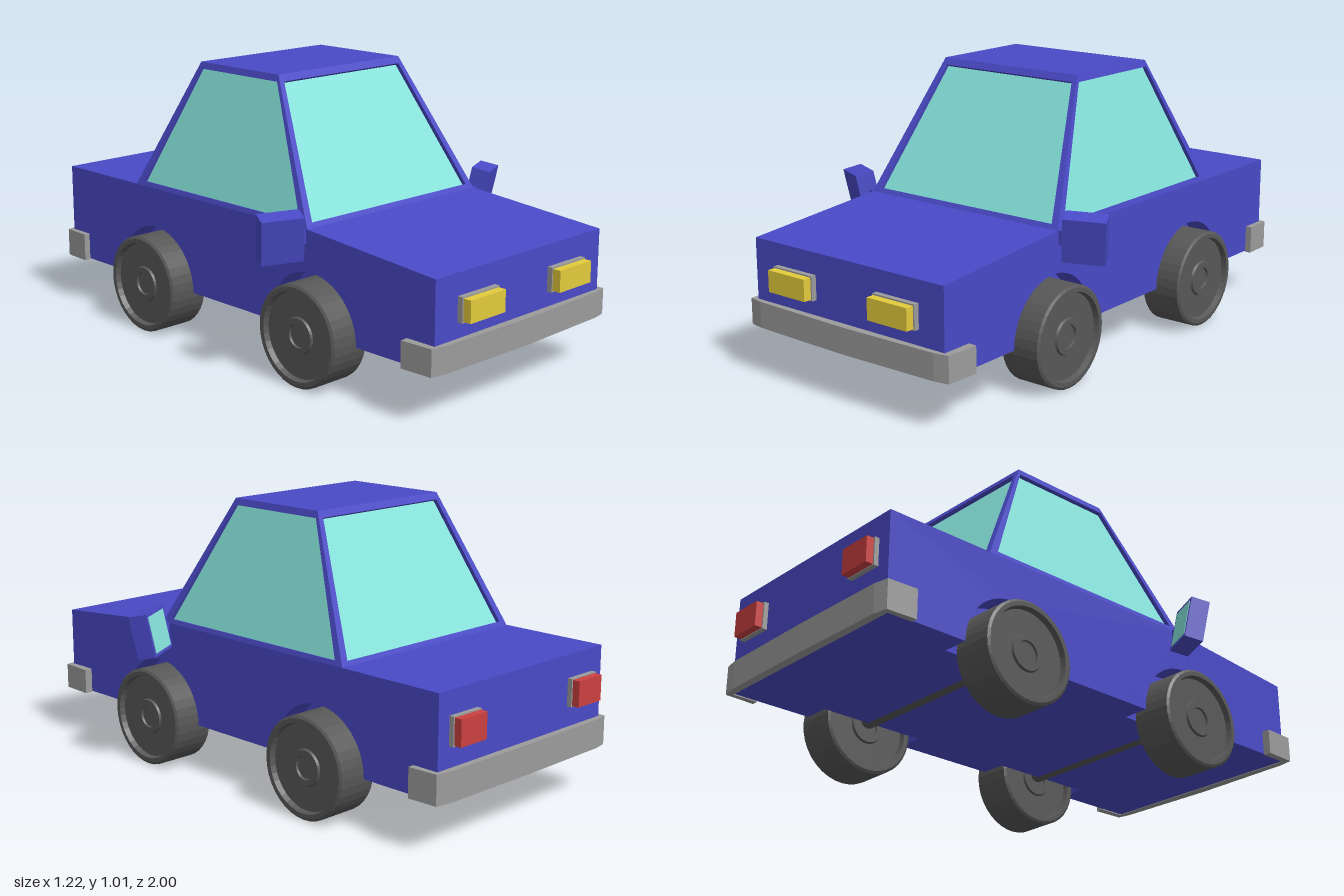
import * as THREE from 'three';

const mat = (color, extra = {}) => new THREE.MeshStandardMaterial({ color, flatShading: true, ...extra });
const V = (x, y, z) => new THREE.Vector3(x, y, z);

export function createModel() {
  const car = new THREE.Group();
  car.name = 'car';
  const blue = mat(0x4a4ac8), glass = mat(0x86e4dc), grey = mat(0x9c9c9c);
  const tyre = mat(0x585858), yellow = mat(0xe4cc3c), red = mat(0xcc4040);

  const add = (name, geometry, material, parent = car) => {
    const mesh = new THREE.Mesh(geometry, material);
    mesh.name = name;
    parent.add(mesh);
    return mesh;
  };
  const box = (name, w, h, d, x, y, z, material, parent) => {
    const mesh = add(name, new THREE.BoxGeometry(w, h, d), material, parent);
    mesh.position.set(x, y, z);
    return mesh;
  };
  // Geometry from quads given as counter-clockwise corner lists
  const quads = (list) => {
    const points = list.flatMap(([a, b, c, d]) => [a, b, c, a, c, d]);
    const geometry = new THREE.BufferGeometry().setFromPoints(points);
    geometry.computeVertexNormals();
    return geometry;
  };

  // Lower body: a full-length core plus side slabs with wheel arches
  const floor = 0.178, axles = [-0.43, 0.4], halfWidth = 0.428, wellX = 0.33;
  const profile = (arches) => {
    const s = new THREE.Shape();
    s.moveTo(-0.955, floor);
    if (arches) for (const z of axles) {
      s.lineTo(z - 0.21, floor);
      s.absarc(z, floor, 0.21, Math.PI, 0, true);
    }
    s.lineTo(0.95, floor);
    s.lineTo(0.95, 0.487);
    s.lineTo(0.38, 0.535);
    s.lineTo(-0.955, 0.535);
    s.closePath();
    return s;
  };
  const slab = (name, arches, x0, x1) => {
    const g = new THREE.ExtrudeGeometry(profile(arches), { depth: x1 - x0, bevelEnabled: false, curveSegments: 20 });
    add(name, g.rotateY(-Math.PI / 2).translate(x1, 0, 0), blue);
  };
  slab('bodyCore', false, -wellX, wellX);
  slab('leftBodySide', true, wellX, halfWidth);
  slab('rightBodySide', true, -halfWidth, -wellX);

  // Cabin: tapered box with a frame and recessed glass on each side
  const base = [V(-0.428, 0.535, 0.38), V(0.428, 0.535, 0.38), V(0.428, 0.535, -0.54), V(-0.428, 0.535, -0.54)];
  const roof = [V(-0.303, 1.01, 0.11), V(0.303, 1.01, 0.11), V(0.303, 1.01, -0.3), V(-0.303, 1.01, -0.3)];
  add('roof', quads([roof]), blue);
  ['windshield', 'leftWindow', 'rearWindow', 'rightWindow'].forEach((name, i) => {
    const j = (i + 1) % 4;
    const outer = [base[i], base[j], roof[j], roof[i]];
    const at = (u, v) => base[i].clone().lerp(base[j], u).lerp(roof[i].clone().lerp(roof[j], u), v);
    const inner = [at(0.033, 0.035), at(0.967, 0.035), at(0.967, 0.95), at(0.033, 0.95)];
    const normal = base[j].clone().sub(base[i]).cross(roof[i].clone().sub(base[i])).normalize();
    const deep = inner.map((p) => p.clone().addScaledVector(normal, -0.015));
    const frame = [];
    for (let k = 0; k < 4; k++) {
      const n = (k + 1) % 4;
      frame.push([outer[k], outer[n], inner[n], inner[k]], [inner[k], inner[n], deep[n], deep[k]]);
    }
    add(name + 'Frame', quads(frame), blue);
    add(name, quads([deep]), glass);
  });

  // Wheels: tyre, recessed disc and raised hub turned as one lathe
  const rim = [[0, 0.06], [0.04, 0.06], [0.042, 0.068], [0.062, 0.068], [0.066, 0.06],
    [0.152, 0.06], [0.157, 0.08], [0.172, 0.08], [0.181, 0.074]];
  const wheelPoints = [
    ...rim.map(([r, y]) => new THREE.Vector2(r, -y)),
    ...rim.slice().reverse().map(([r, y]) => new THREE.Vector2(r, y)),
  ];
  const wheelGeometry = new THREE.LatheGeometry(wheelPoints, 36).rotateZ(Math.PI / 2);
  for (const [end, z] of [['rear', axles[0]], ['front', axles[1]]]) {
    for (const [side, s] of [['Left', 1], ['Right', -1]]) {
      add(`${end}${side}Wheel`, wheelGeometry, tyre).position.set(s * 0.425, 0.181, z);
    }
    const axle = add(`${end}Axle`, new THREE.CylinderGeometry(0.03, 0.03, 0.72, 12).rotateZ(Math.PI / 2), tyre);
    axle.position.set(0, 0.2, z);
  }

  // Bumpers: slightly bowed bars wrapping around the body corners
  const bumper = (name, dir, face, bow, wing, w, y0, y1, wall) => {
    const right = [[0, face + bow], [w - 0.06, face], [w - 0.005, face - 0.01], [w, wing], [halfWidth, wing], [halfWidth, wall]];
    const left = right.slice(1).reverse().map(([x, z]) => [-x, z]);
    const shape = new THREE.Shape([...right, ...left].map(([x, z]) => new THREE.Vector2(x, -dir * z)));
    const g = new THREE.ExtrudeGeometry(shape, { depth: y1 - y0, bevelEnabled: false });
    add(name, g.rotateX(-Math.PI / 2).translate(0, y0, 0), grey);
  };
  bumper('frontBumper', 1, 0.97, 0.01, 0.835, 0.458, 0.174, 0.268, 0.945);
  bumper('rearBumper', -1, 0.978, 0.004, 0.855, 0.452, 0.174, 0.279, 0.95);

  for (const [side, s] of [['left', 1], ['right', -1]]) {
    // Lights on grey mounts
    box(side + 'HeadlightMount', 0.182, 0.087, 0.03, s * 0.23, 0.366, 0.955, grey);
    box(side + 'Headlight', 0.172, 0.077, 0.04, s * 0.23, 0.366, 0.98, yellow);
    box(side + 'TaillightMount', 0.136, 0.1, 0.025, s * 0.308, 0.402, -0.96, grey);
    box(side + 'Taillight', 0.126, 0.092, 0.04, s * 0.308, 0.402, -0.98, red);

    // Door mirrors: angled housing with rear-facing glass
    const mirror = new THREE.Group();
    mirror.name = side + 'Mirror';
    mirror.position.set(s * 0.517, 0.517, 0.343);
    mirror.rotation.set(0.2, s * 0.46, s * -0.04, 'YXZ');
    box('mirrorHousing', 0.148, 0.16, 0.07, 0, 0, 0, blue, mirror);
    box('mirrorGlass', 0.126, 0.136, 0.006, 0, 0, -0.034, glass, mirror);
    car.add(mirror);
    box(side + 'MirrorArm', 0.06, 0.05, 0.03, s * 0.45, 0.51, 0.36, blue);
  }
  return car;
}
